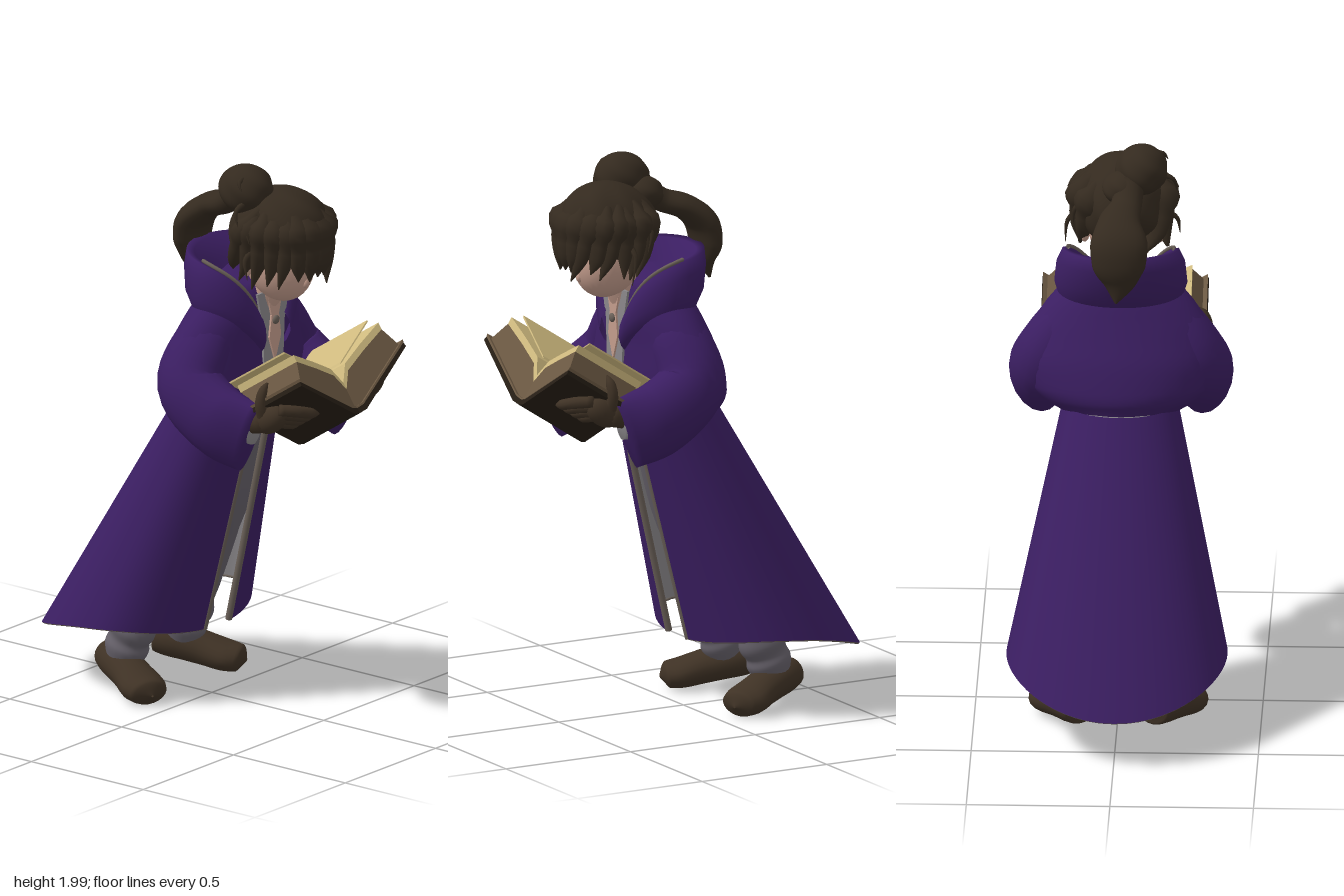
import * as THREE from 'three';

const mat = (name, color) => Object.assign(new THREE.MeshStandardMaterial({ color, side: THREE.DoubleSide }), { name });
const M = {
  robe: mat('purple cloth', 0x3b1e62), lining: mat('grey lining', 0x8a878a), pants: mat('grey trousers', 0x66616a),
  trim: mat('worn trim', 0x6a6058), skin: mat('skin', 0xc39c8c), hair: mat('dark brown hair', 0x342a1f),
  leather: mat('brown leather', 0x3f3225), cover: mat('dark cover', 0x261e15), edge: mat('aged paper edge', 0x6c5943),
  page: mat('cream page', 0xcfba7f),
};
const V = (x, y, z) => new THREE.Vector3(x, y, z);

export function createModel() {
  const model = new THREE.Group();
  model.name = 'robedReader';
  const add = (name, geo, material, parent = model) => {
    const m = new THREE.Mesh(geo, material);
    m.name = name;
    parent.add(m);
    return m;
  };

  // Skin a list of equally long point rings
  function loft(rings, closed) {
    const n = rings[0].length, idx = [];
    for (let i = 0; i + 1 < rings.length; i++)
      for (let j = 0; j < (closed ? n : n - 1); j++) {
        const a = i * n + j, b = i * n + (j + 1) % n;
        idx.push(a, b, a + n, b, b + n, a + n);
      }
    const g = new THREE.BufferGeometry().setFromPoints(rings.flat());
    g.setIndex(idx);
    g.computeVertexNormals();
    return g;
  }
  // Smooth elliptical tube through keys [x, y, z, sideRadius, upRadius]
  function limb(keys, capStart = false, capEnd = false, steps = 24, sides = 20) {
    const path = new THREE.CatmullRomCurve3(keys.map(k => V(k[0], k[1], k[2])));
    const size = new THREE.CatmullRomCurve3(keys.map(k => V(k[3], k[4], 0)));
    const rings = [];
    for (let i = 0; i <= steps; i++) {
      const t = i / steps, p = path.getPoint(t), r = size.getPoint(t), T = path.getTangent(t);
      const S = V(1, 0, 0).addScaledVector(T, -T.x).normalize(), U = T.clone().cross(S);
      rings.push(Array.from({ length: sides }, (_, j) => {
        const a = j / sides * Math.PI * 2;
        return p.clone().addScaledVector(S, Math.cos(a) * r.x).addScaledVector(U, Math.sin(a) * r.y);
      }));
    }
    if (capStart) rings.unshift(rings[0].map(() => path.getPoint(0)));
    if (capEnd) rings.push(rings[0].map(() => path.getPoint(1)));
    return loft(rings, true);
  }
  const mirror = (keys, s) => keys.map(([x, ...rest]) => [x * s, ...rest]);
  const cord = (pts, r) => new THREE.TubeGeometry(new THREE.CatmullRomCurve3(pts), 48, r, 6);
  const ball = (name, p, s, material, parent) => {
    const m = add(name, new THREE.SphereGeometry(1, 28, 20), material, parent);
    m.position.set(...p);
    m.scale.set(...s);
    return m;
  };
  const lerp = THREE.MathUtils.lerp;

  // Flared skirt, open at the front and trailing at the back
  function skirtPoint(t, u, inset = 0) {
    const rx = lerp(0.2, 0.385, t), gap = Math.asin(lerp(0.048, 0.07, t) / rx);
    const a = lerp(gap, 2 * Math.PI - gap, u), c = Math.cos(a), s = Math.sin(a);
    const cz = lerp(0.06, -0.27, t), zf = lerp(0.235, 0.03, t), zb = lerp(-0.1, -0.65, t);
    const hem = 0.26 - 0.0425 * (1 - c) + 0.07 * s * s;
    const z = c > 0 ? (zf - cz - inset) * Math.pow(c, 0.8) : (cz - zb - inset) * c;
    return V((rx - inset) * s, lerp(1.1, hem, t), cz + z);
  }
  const grid = inset => Array.from({ length: 25 }, (_, i) =>
    Array.from({ length: 65 }, (_, j) => skirtPoint(i / 24, j / 64, inset)));
  add('skirt', loft(grid(0)), M.robe);
  add('skirtLining', loft(grid(0.008)), M.lining);
  const line = (f, n = 40) => Array.from({ length: n + 1 }, (_, i) => f(i / n));
  add('hemTrim', cord(line(u => skirtPoint(1, u, 0.007)), 0.005), M.trim);
  for (const u of [0, 1]) add('openingTrim', cord(line(t => skirtPoint(t, u, 0.007)), 0.012), M.trim);

  // Blousing upper robe, spreading into the sleeves
  add('upperRobe', limb([[0, 1.06, 0.06, 0.19, 0.155], [0, 1.1, 0.07, 0.26, 0.178], [0, 1.15, 0.08, 0.31, 0.185],
    [0, 1.25, 0.1, 0.34, 0.178], [0, 1.36, 0.12, 0.315, 0.152], [0, 1.45, 0.14, 0.255, 0.135],
    [0, 1.52, 0.155, 0.19, 0.115], [0, 1.58, 0.17, 0.09, 0.085]], false, true, 28, 40), M.robe);

  // Shirt front with bare neckline
  const plate = (name, pts, z, material) => {
    const g = new THREE.ExtrudeGeometry(new THREE.Shape(pts.map(p => new THREE.Vector2(...p))), { depth: 0.009, bevelEnabled: false });
    add(name, g, material).position.z = z;
  };
  plate('shirtFront', [[-0.09, 1.54], [0.09, 1.54], [0.06, 1.42], [0.05, 1.22], [-0.05, 1.22], [-0.06, 1.42]], 0.268, M.lining);
  plate('neckline', [[-0.05, 1.55], [0.05, 1.55], [0.02, 1.45], [0.032, 1.37], [0, 1.28], [-0.032, 1.37], [-0.02, 1.45]], 0.275, M.skin);
  ball('clasp', [0, 1.43, 0.286], [0.016, 0.016, 0.01], M.trim);

  // Lowered hood wrapped round the neck: [radius, back z, drop]
  const hoodProfile = [[0.17, 0.05, -0.26], [0.212, 0.005, -0.2], [0.232, -0.035, -0.13], [0.224, -0.05, -0.05],
    [0.203, -0.05, 0], [0.18, -0.02, -0.005], [0.155, 0.03, -0.07], [0.1, 0.08, -0.16]];
  const hoodRing = ([r, zb, dy], from = 0) => line(k => {
    const w = lerp(from, 1, k), u = w * 2.85, s = Math.abs(w), c = Math.cos(u);
    const y = 1.67 - 0.06 * s * s - 0.17 * s ** 6 + dy * (1 - 0.5 * s ** 4);
    return V(r * Math.sin(u), y, 0.13 - (c > 0 ? (0.13 - zb) * c : r * 0.76 * c));
  }, 48);
  add('hood', loft(hoodProfile.map(p => hoodRing(p, -1))), M.robe);
  const rim = hoodRing([0.185, -0.03, 0.003], 0.5);
  for (const s of [1, -1]) add('hoodTrim', cord(rim.map(p => V(p.x * s, p.y, p.z)), 0.007), M.trim);

  // Sleeves, cuffs, legs and boots on both sides
  for (const s of [1, -1]) {
    add('sleeve', limb(mirror([[0.1, 1.44, 0.13, 0.07, 0.08], [0.19, 1.365, 0.125, 0.1, 0.11], [0.27, 1.23, 0.125, 0.112, 0.125],
      [0.283, 1.13, 0.25, 0.1, 0.135], [0.262, 1.08, 0.385, 0.05, 0.135]], s), true, true), M.robe);
    add('cuffLining', limb(mirror([[0.264, 1.12, 0.35, 0.045, 0.06], [0.258, 1.115, 0.4, 0.042, 0.055]], s), false, true, 4), M.lining);
    add('trouserLeg', limb(mirror([[0.1, 1.02, 0.05, 0.09, 0.1], [0.135, 0.6, -0.1, 0.09, 0.1], [0.155, 0.36, -0.19, 0.076, 0.09],
      [0.16, 0.28, -0.215, 0.068, 0.08], [0.16, 0.24, -0.225, 0.076, 0.088], [0.16, 0.2, -0.24, 0.066, 0.076],
      [0.16, 0.17, -0.25, 0.073, 0.082], [0.16, 0.12, -0.265, 0.06, 0.065]], s), true, true, 40), M.pants);
    const boot = add('boot', limb([[0, 0.11, -0.1, 0.01, 0.01], [0, 0.11, -0.092, 0.06, 0.054], [0, 0.103, -0.02, 0.072, 0.064],
      [0, 0.083, 0.07, 0.072, 0.06], [0, 0.06, 0.16, 0.083, 0.053], [0, 0.053, 0.21, 0.068, 0.046],
      [0, 0.047, 0.236, 0.004, 0.004]], true, false, 36), M.leather);
    boot.position.set(0.165 * s, 0, -0.27);
    boot.rotation.y = 0.42 * s;
  }

  // Bowed head and neck
  add('neck', limb([[0, 1.43, 0.19, 0.075, 0.065], [0, 1.52, 0.24, 0.058, 0.058], [0, 1.62, 0.28, 0.06, 0.06]]), M.skin);
  ball('head', [0, 1.655, 0.3], [0.118, 0.15, 0.122], M.skin).rotation.x = -0.45;
  ball('nose', [0, 1.59, 0.416], [0.012, 0.018, 0.014], M.skin);
  for (const s of [1, -1]) ball('ear', [0.13 * s, 1.655, 0.26], [0.018, 0.038, 0.026], M.skin);

  // Rippled hair masses
  function hairMass(name, p, r, waves, cut = Math.PI) {
    const g = new THREE.SphereGeometry(1, 64, 32, 0, Math.PI * 2, 0, cut), a = g.attributes.position;
    for (let i = 0; i < a.count; i++) {
      const v = V(0, 0, 0).fromBufferAttribute(a, i);
      const k = 1 + 0.03 * Math.sin(waves * Math.atan2(v.x, v.z) + 5 * v.y) * Math.hypot(v.x, v.z);
      a.setXYZ(i, v.x * k * r[0], v.y * r[1], v.z * k * r[2]);
    }
    g.computeVertexNormals();
    const m = add(name, g, M.hair);
    m.position.set(...p);
    return m;
  }
  hairMass('hairCap', [0, 1.76, 0.305], [0.16, 0.16, 0.185], 7, Math.PI * 0.7).rotation.x = -0.22;
  hairMass('hairBun', [-0.07, 1.91, 0.21], [0.09, 0.088, 0.1], 5);
  hairMass('hairKnot', [-0.01, 1.86, 0.16], [0.075, 0.06, 0.075], 4);
  add('ponytail', limb([[-0.03, 1.88, 0.15, 0.05, 0.045], [-0.02, 1.825, 0.08, 0.055, 0.042], [0, 1.795, 0.0, 0.075, 0.045],
    [0, 1.735, -0.07, 0.1, 0.05], [0, 1.66, -0.088, 0.092, 0.045], [0, 1.6, -0.085, 0.06, 0.033],
    [0.01, 1.53, -0.1, 0.004, 0.004]], true, false, 36), M.hair);

  // Swept fringe and side locks lying over the cap
  let seed = 7;
  const rand = () => (seed = (seed * 16807) % 2147483647) / 2147483647;
  for (let i = 0; i < 15; i++) {
    const a = lerp(-2.0, 2.1, i / 14), sweep = -0.5 + 0.5 * rand(), side = Math.abs(Math.sin(a));
    const at = (ang, y, k) => [Math.sin(ang) * 0.16 * k, y, 0.305 + Math.cos(ang) * 0.19 * k];
    const r = 0.034 + 0.014 * rand(), tip = 1.625 - 0.06 * side * rand();
    add('hairLock', limb([[...at(a - sweep, 1.88, 0.42), 0.01, 0.01], [...at(a - sweep * 0.6, 1.82, 0.74), r, 0.032],
      [...at(a, 1.74, 0.88), r, 0.032], [...at(a + sweep * 0.4, 1.675, 0.9), r * 0.8, 0.024],
      [...at(a + sweep * 1.2, tip, 0.88 + 0.2 * rand() * side), 0.002, 0.002]],
    false, false, 16, 10), M.hair);
  }
  // Loose wisps
  for (const [x, y, z, dx, dy] of [[-0.13, 1.88, 0.25, -0.06, -0.07], [-0.14, 1.82, 0.3, -0.05, -0.06], [-0.15, 1.72, 0.3, -0.05, -0.09],
    [0.15, 1.72, 0.3, 0.05, -0.13], [-0.08, 1.97, 0.24, -0.08, -0.04], [0.14, 1.78, 0.22, 0.03, -0.09]])
    add('hairWisp', limb([[x, y, z, 0.012, 0.012], [x + dx * 0.8, y + dy * 0.3, z, 0.008, 0.008],
      [x + dx, y + dy, z + 0.02, 0.001, 0.001]], false, false, 8, 6), M.hair);

  // Open book tilted towards the reader; local z runs along the spine
  const book = new THREE.Group();
  book.name = 'book';
  book.position.set(0, 1.18, 0.65);
  book.rotation.x = -0.58;
  model.add(book);
  // Mirrored V-shaped slab between two half profiles, its wings swept forward
  const SWEEP = 0.24;
  function slab(name, low, high, z0, length, material) {
    const half = [...low, ...high.slice().reverse()];
    for (const s of [1, -1]) {
      const shape = new THREE.Shape(half.map(([x, y]) => new THREE.Vector2(x * s, y)));
      const g = new THREE.ExtrudeGeometry(shape, { depth: length, bevelEnabled: false }).translate(0, 0, z0 - length);
      const p = g.attributes.position;
      for (let i = 0; i < p.count; i++) p.setZ(i, p.getZ(i) + SWEEP * Math.abs(p.getX(i)));
      g.computeVertexNormals();
      add(name, g, material, book);
    }
  }
  const under = [[0, -0.02], [0.035, -0.015], [0.29, 0.135]], inner = [[0, 0], [0.03, 0.005], [0.285, 0.15]];
  slab('bookCover', under, inner, 0, 0.3, M.cover);
  slab('coverInside', inner, [[0, 0.006], [0.03, 0.012], [0.287, 0.16]], 0.002, 0.304, M.edge);
  const top = k => [[0, 0.075 + k], [0.04, 0.135 + k], [0.13, 0.178 + k], [0.235, 0.222 + k]];
  slab('pageBlock', [[0, 0.006], [0.03, 0.012], [0.272, 0.15]], top(0), -0.008, 0.29, M.edge);
  slab('topPages', top(0), top(0.026), -0.008, 0.3, M.page);
  slab('loosePage', [[0, 0.1], [0.06, 0.17], [0.23, 0.268]], [[0, 0.104], [0.06, 0.175], [0.23, 0.274]], -0.045, 0.3, M.page);

  // Gloved hands gripping the covers
  for (const s of [1, -1]) {
    ball('palm', [0.255 * s, 0.09, -0.16], [0.045, 0.05, 0.07], M.leather, book);
    for (let i = 0; i < 4; i++) {
      const z = -0.06 - i * 0.034;
      add('finger', limb(mirror([[0.272, 0.1, z - 0.03, 0.02, 0.02], [0.225, 0.07, z, 0.021, 0.021], [0.17, 0.045, z + 0.01, 0.019, 0.019],
        [0.14, 0.035, z + 0.012, 0.004, 0.004]], s), true, false, 12, 10), M.leather, book);
    }
    add('thumb', limb(mirror([[0.272, 0.1, -0.17, 0.024, 0.024], [0.29, 0.15, -0.14, 0.02, 0.02], [0.278, 0.185, -0.115, 0.017, 0.017],
      [0.255, 0.205, -0.1, 0.004, 0.004]], s), true, false, 14, 10), M.leather, book);
    add('wrist', limb(mirror([[0.268, 1.12, 0.3, 0.036, 0.04], [0.258, 1.16, 0.46, 0.04, 0.042]], s), true, true, 6, 14), M.leather);
  }
  return model;
}
